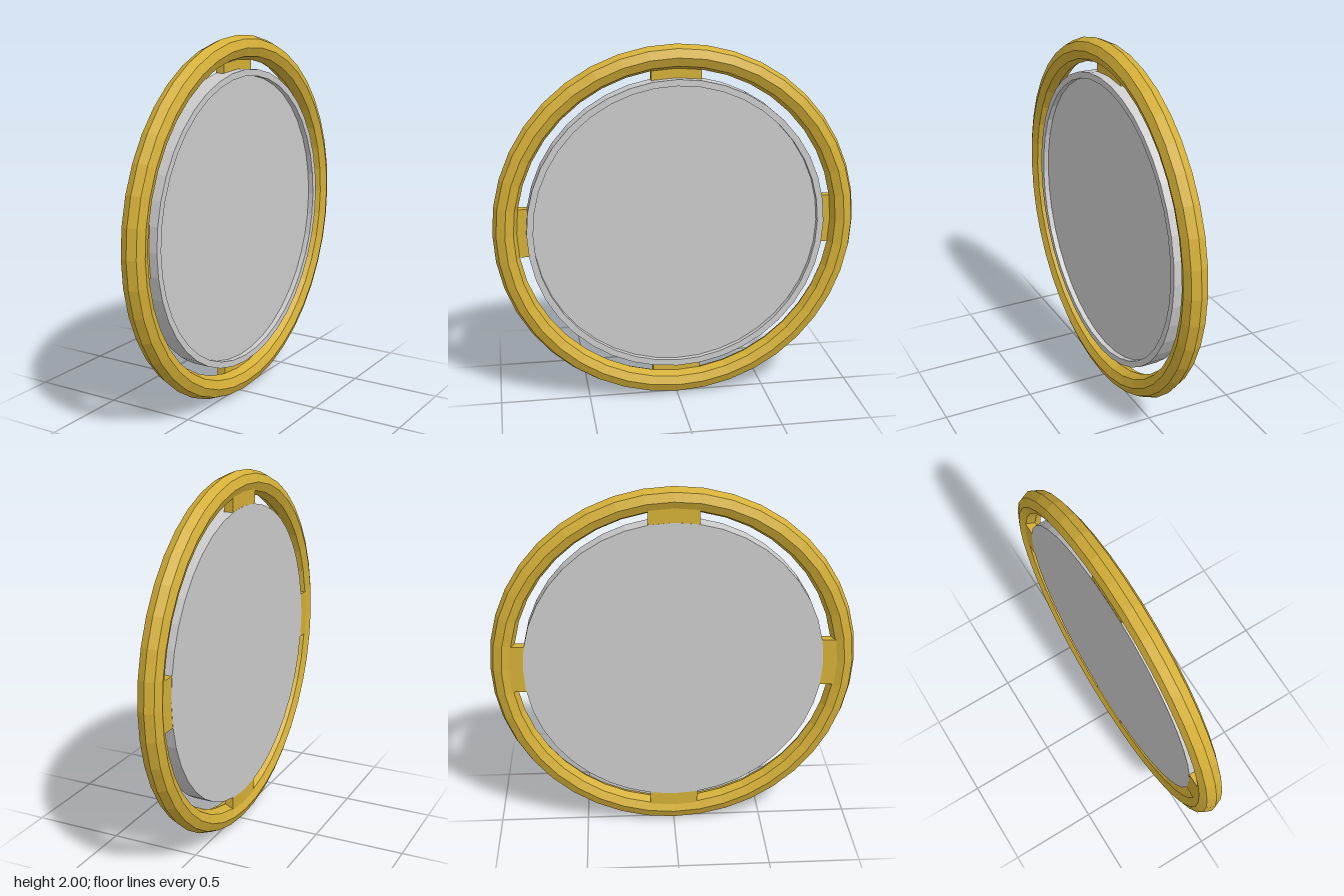
import * as THREE from 'three';

export function createModel() {
  const model = new THREE.Group();
  const gold = new THREE.MeshStandardMaterial({ color: 0xd4af37, flatShading: true });
  const grey = new THREE.MeshStandardMaterial({ color: 0xcccccc, flatShading: true });

  // All parts share the centre of the wheel; its axis runs along x.
  const wheel = new THREE.Group();
  wheel.name = 'wheel';
  wheel.position.y = 1;
  model.add(wheel);

  function add(name, geometry, material) {
    const mesh = new THREE.Mesh(geometry, material);
    mesh.name = name;
    wheel.add(mesh);
    return mesh;
  }

  // Outer ring with an octagonal section
  const ring = new THREE.TorusGeometry(0.935, 0.065, 8, 40);
  ring.rotateY(Math.PI / 2);
  add('outerRing', ring, gold);

  // Disc with a shallow recess and raised rim on its +x side, flat on the other
  const profile = [
    [0, -0.05], [0.82, -0.05], [0.82, 0.05], [0.785, 0.05], [0.785, 0.02], [0, 0.02],
  ].map(([r, h]) => new THREE.Vector2(r, h));
  const disc = new THREE.LatheGeometry(profile, 40);
  disc.rotateZ(-Math.PI / 2);
  add('disc', disc, grey);

  // Four tabs joining the disc to the ring, set toward the flat side
  for (let i = 0; i < 4; i++) {
    const tab = new THREE.BoxGeometry(0.05, 0.11, 0.27);
    tab.translate(-0.024, 0.845, 0);
    tab.rotateX(i * Math.PI / 2);
    add('tab' + (i + 1), tab, gold);
  }

  return model;
}
